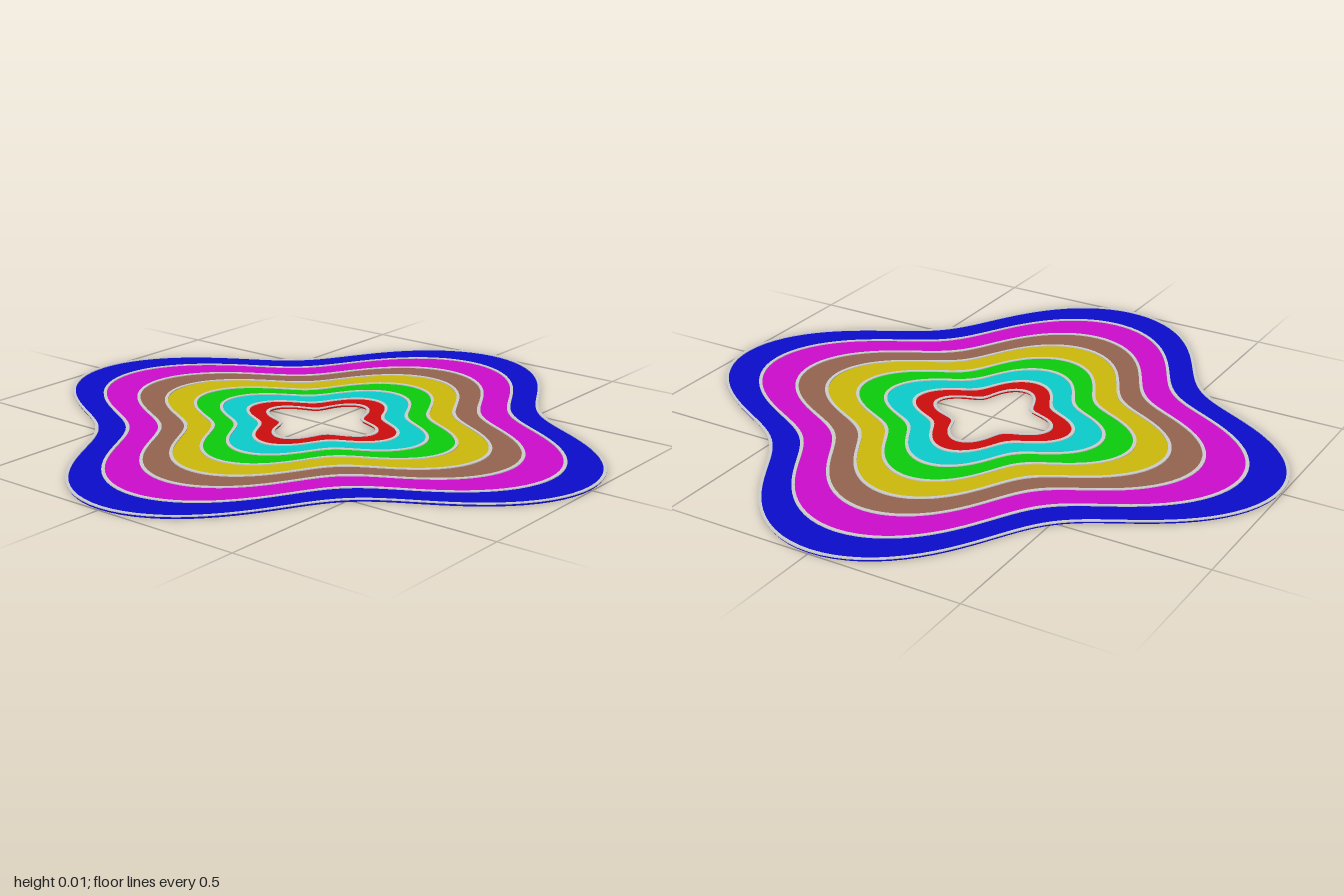
import * as THREE from 'three';

// Boundary curves from the hole outwards: [radius at lobe tip, radius at neck]
const BOUNDS = [
  [0.21, 0.132], [0.285, 0.2], [0.39, 0.278], [0.495, 0.35],
  [0.612, 0.437], [0.725, 0.52], [0.865, 0.622], [0.995, 0.72],
];
const BANDS = [
  ['red', 0xcc0c0c], ['cyan', 0x0ccccc], ['green', 0x0ccc0c], ['yellow', 0xccb80c],
  ['brown', 0x946450], ['magenta', 0xcc0ccc], ['blue', 0x0c0ccc],
];
const PLATE = 0.007, TOTAL = 0.01, RIM = 0.006;

// Four-lobed outline, optionally grown or shrunk by a small offset
function outline([tip, neck], offset = 0) {
  const points = [];
  for (let i = 0; i < 160; i++) {
    const t = (i / 160) * Math.PI * 2;
    const r = (tip + neck) / 2 + ((tip - neck) / 2) * Math.cos(4 * t) + offset;
    points.push(new THREE.Vector2(r * Math.cos(t), r * Math.sin(t)));
  }
  return points;
}

// Flat ring between two outlines, lying on the ground plane
function ring(outer, inner, y, height, color, name) {
  const shape = new THREE.Shape(outer);
  shape.holes.push(new THREE.Path(inner));
  const geometry = new THREE.ExtrudeGeometry(shape, { depth: height, bevelEnabled: false });
  geometry.rotateX(-Math.PI / 2).translate(0, y, 0);
  const mesh = new THREE.Mesh(geometry, new THREE.MeshStandardMaterial({ color }));
  mesh.name = name;
  return mesh;
}

export function createModel() {
  const group = new THREE.Group();
  group.name = 'lobedMat';

  // Coloured bands
  BANDS.forEach(([name, color], i) => {
    group.add(ring(outline(BOUNDS[i + 1]), outline(BOUNDS[i]), 0, PLATE, color, `${name}Band`));
  });

  // Thin raised grey borders along every boundary
  BOUNDS.forEach((bound, i) => {
    const out = i === BOUNDS.length - 1 ? 0.005 : RIM;
    group.add(ring(outline(bound, out), outline(bound, -RIM), PLATE, TOTAL - PLATE, 0xcccccc, `border${i + 1}`));
  });

  return group;
}
